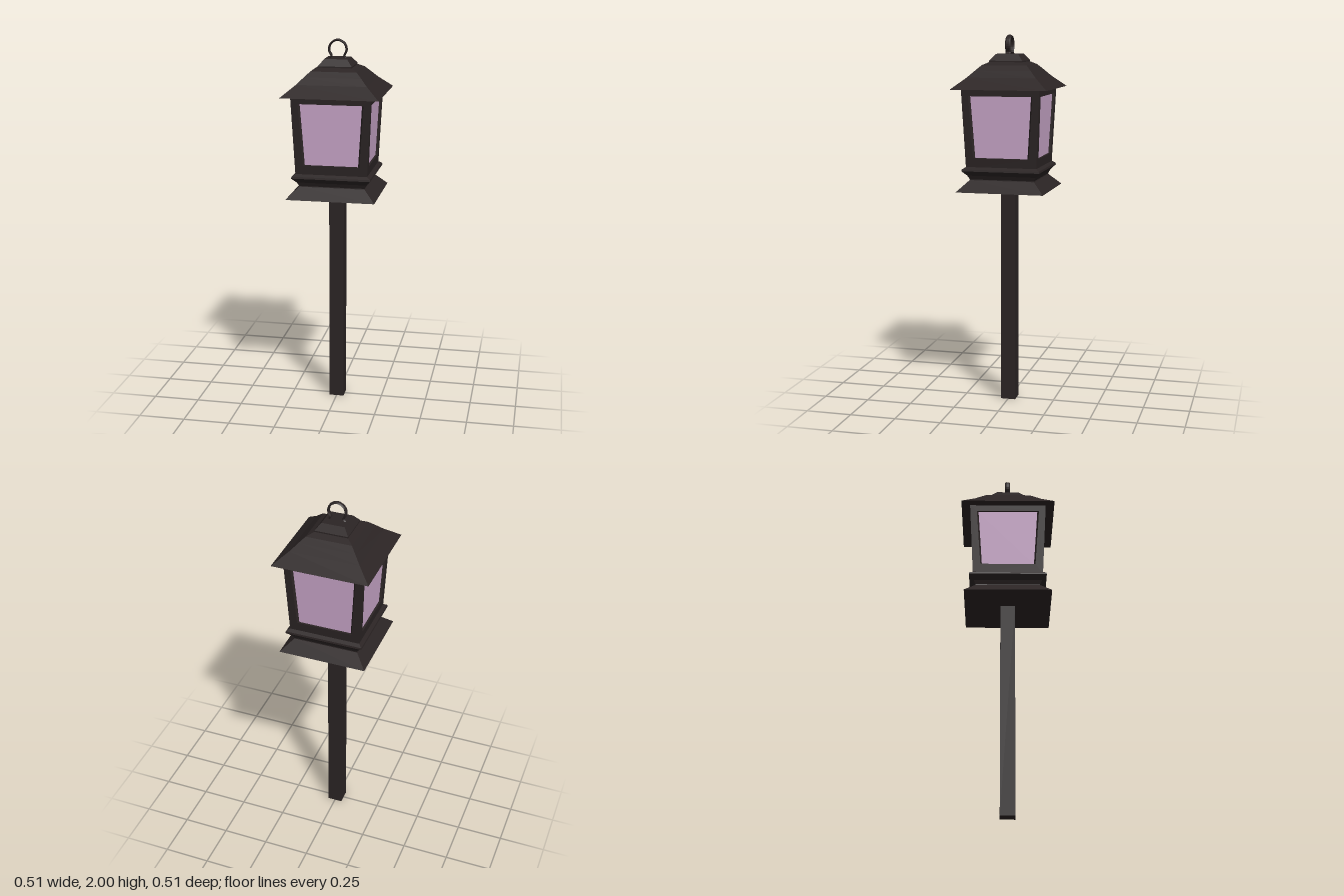
import * as THREE from 'three';

const metal = new THREE.MeshStandardMaterial({ color: 0x2b2424, flatShading: true });
const pane = new THREE.MeshStandardMaterial({ color: 0xc9a6c9, side: THREE.DoubleSide });

// Square solid from [half width, height] pairs, listed bottom to top
function squareLoft(name, profile) {
  const pts = profile.map(([h, y]) => new THREE.Vector2(h * Math.SQRT2, y));
  const mesh = new THREE.Mesh(new THREE.LatheGeometry(pts, 4, Math.PI / 4), metal);
  mesh.name = name;
  return mesh;
}

// Half width of the tapering lantern body at height y
const Y0 = 1.3, Y1 = 1.725, THICK = 0.022;
const half = (y) => 0.19 + (0.02 * (y - Y0)) / (Y1 - Y0);

function trapezoid(target, y0, w0, y1, w1) {
  target.moveTo(-w0, y0);
  target.lineTo(w0, y0);
  target.lineTo(w1, y1);
  target.lineTo(-w1, y1);
  target.closePath();
  return target;
}

// Lean a flat panel onto the body wall, mitring the corners
function lean(geometry, inset) {
  const p = geometry.attributes.position;
  for (let i = 0; i < p.count; i++) {
    const y = p.getY(i), h = half(y), z = h - inset + p.getZ(i);
    p.setX(i, (p.getX(i) * z) / h);
    p.setZ(i, z);
  }
  geometry.computeVertexNormals();
  return geometry;
}

function createWall() {
  const wall = new THREE.Group();
  wall.name = 'lanternWall';
  const shape = trapezoid(new THREE.Shape(), Y0, half(Y0), Y1, half(Y1));
  shape.holes.push(trapezoid(new THREE.Path(), 1.36, 0.15, 1.685, 0.172));
  const frame = new THREE.Mesh(
    lean(new THREE.ExtrudeGeometry(shape, { depth: THICK, bevelEnabled: false }), THICK), metal);
  frame.name = 'windowFrame';
  const glassShape = trapezoid(new THREE.Shape(), 1.35, 0.163, 1.695, 0.185);
  const glass = new THREE.Mesh(lean(new THREE.ShapeGeometry(glassShape), 0.011), pane);
  glass.name = 'windowGlass';
  wall.add(frame, glass);
  return wall;
}

export function createModel() {
  const model = new THREE.Group();
  model.name = 'lampPost';

  // Post
  const post = new THREE.Mesh(new THREE.BoxGeometry(0.08, 1.19, 0.08), metal);
  post.name = 'post';
  post.position.y = 0.595;
  model.add(post);

  // Flared base and moulding under the lantern
  model.add(squareLoft('base', [
    [0, 1.18], [0.236, 1.18], [0.175, 1.24], [0.172, 1.255], [0, 1.255],
  ]));
  model.add(squareLoft('moulding', [
    [0, 1.24], [0.172, 1.24], [0.185, 1.265], [0.21, 1.29], [0.208, 1.3], [0.19, 1.312], [0, 1.312],
  ]));

  // Four glazed walls
  for (let i = 0; i < 4; i++) {
    const wall = createWall();
    wall.rotation.y = (i * Math.PI) / 2;
    model.add(wall);
  }

  // Bell-shaped roof and its cap
  model.add(squareLoft('roof', [
    [0, 1.72], [0.257, 1.72], [0.185, 1.78], [0.15, 1.815], [0.122, 1.842], [0.085, 1.86], [0, 1.862],
  ]));
  model.add(squareLoft('roofCap', [
    [0, 1.855], [0.089, 1.855], [0.089, 1.865], [0.061, 1.9], [0, 1.9],
  ]));

  // Hanging loop, a flattened bar that is wider front to back
  const path = new THREE.CatmullRomCurve3([
    [-0.046, 1.897], [-0.034, 1.909], [-0.046, 1.938], [-0.04, 1.97], [-0.02, 1.988], [0, 1.994],
    [0.02, 1.988], [0.04, 1.97], [0.046, 1.938], [0.034, 1.909], [0.046, 1.897],
  ].map(([x, y]) => new THREE.Vector3(x, y, 0)));
  const loop = new THREE.Mesh(new THREE.TubeGeometry(path, 30, 0.006, 6), metal);
  loop.name = 'hangingLoop';
  loop.scale.z = 2.4;
  model.add(loop);

  return model;
}
